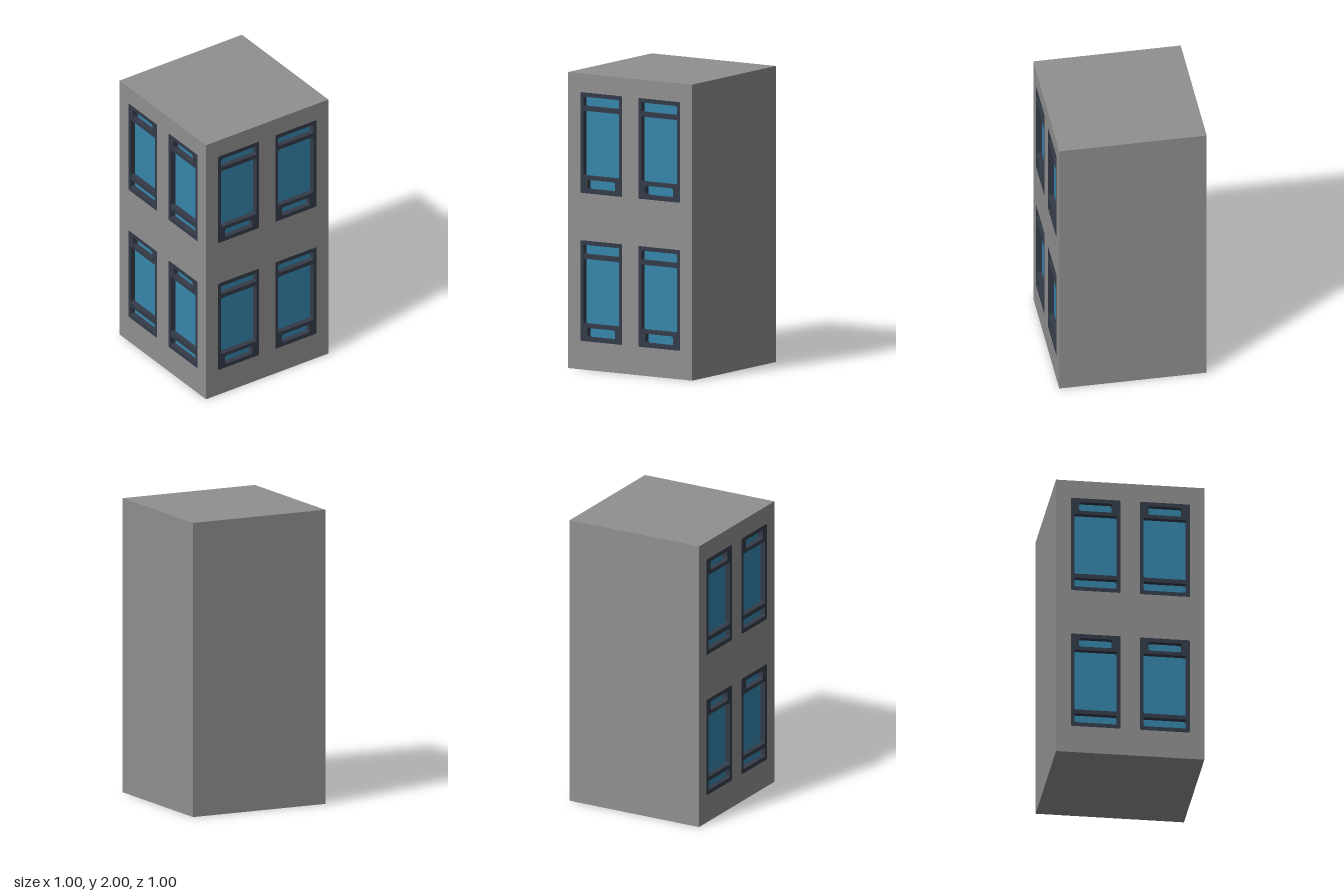
import * as THREE from 'three';
import { mergeGeometries } from 'three/addons/utils/BufferGeometryUtils.js';

const wallMat = new THREE.MeshStandardMaterial({ name: 'concrete grey', color: 0x909090 });
const frameMat = new THREE.MeshStandardMaterial({ name: 'dark slate', color: 0x343b48 });
const glassMat = new THREE.MeshStandardMaterial({ name: 'window blue', color: 0x3585ab });

const FRAME_W = 0.335, FRAME_H = 0.68, FRAME_D = 0.05, GLASS_RECESS = 0.038;
const WINDOW_X = [-0.2325, 0.2345];
const WINDOW_Y = [0.533, 1.533];

// panes relative to the window centre: [centre y, width, height, corner radius]
const PANES = [
  [0.279, 0.288, 0.065, 0.012],
  [-0.003, 0.288, 0.44, 0.012],
  [-0.28, 0.225, 0.064, 0.018],
];

// rounded rectangle traced into a Shape or Path
function roundedRect(target, cx, cy, w, h, r) {
  const x0 = cx - w / 2, x1 = cx + w / 2, y0 = cy - h / 2, y1 = cy + h / 2;
  target.moveTo(x0 + r, y0);
  target.lineTo(x1 - r, y0);
  target.quadraticCurveTo(x1, y0, x1, y0 + r);
  target.lineTo(x1, y1 - r);
  target.quadraticCurveTo(x1, y1, x1 - r, y1);
  target.lineTo(x0 + r, y1);
  target.quadraticCurveTo(x0, y1, x0, y1 - r);
  target.lineTo(x0, y0 + r);
  target.quadraticCurveTo(x0, y0, x0 + r, y0);
  return target;
}

// wall face with four window openings
function windowWall() {
  const shape = new THREE.Shape([
    new THREE.Vector2(-0.5, 0), new THREE.Vector2(0.5, 0),
    new THREE.Vector2(0.5, 2), new THREE.Vector2(-0.5, 2),
  ]);
  for (const x of WINDOW_X) for (const y of WINDOW_Y) {
    shape.holes.push(roundedRect(new THREE.Path(), x, y, FRAME_W, FRAME_H, 0.008));
  }
  return new THREE.ShapeGeometry(shape, 3).translate(0, 0, 0.5);
}

// one window: flush frame with three recessed panes
function makeWindow() {
  const g = new THREE.Group();
  g.name = 'window';
  const shape = roundedRect(new THREE.Shape(), 0, 0, FRAME_W, FRAME_H, 0.008);
  for (const [y, w, h, r] of PANES) {
    shape.holes.push(roundedRect(new THREE.Path(), 0, y, w, h, r));
  }
  const frame = new THREE.Mesh(
    new THREE.ExtrudeGeometry(shape, { depth: FRAME_D, bevelEnabled: false, curveSegments: 3 })
      .translate(0, 0, -FRAME_D), frameMat);
  frame.name = 'windowFrame';
  g.add(frame);
  for (const [y, w, h, r] of PANES) {
    const pane = new THREE.Mesh(
      new THREE.ShapeGeometry(roundedRect(new THREE.Shape(), 0, y, w, h, r), 3), glassMat);
    pane.position.z = -GLASS_RECESS;
    pane.name = 'windowPane';
    g.add(pane);
  }
  return g;
}

// four windows on a wall facing +z
function makeWindows(name, upsideDown) {
  const g = new THREE.Group();
  g.name = name;
  for (const x of WINDOW_X) for (const y of WINDOW_Y) {
    const win = makeWindow();
    win.position.set(x, y, 0.5);
    if (upsideDown) win.rotation.z = Math.PI;
    g.add(win);
  }
  return g;
}

export function createModel() {
  const model = new THREE.Group();
  model.name = 'buildingBlock';

  // shell: two pierced walls, two plain walls, roof and floor
  const plain = () => new THREE.PlaneGeometry(1, 2).translate(0, 1, 0.5);
  const walls = new THREE.Mesh(mergeGeometries([
    windowWall(),
    windowWall().rotateY(-Math.PI / 2),
    plain().rotateY(Math.PI / 2),
    plain().rotateY(Math.PI),
    new THREE.PlaneGeometry(1, 1).rotateX(-Math.PI / 2).translate(0, 2, 0),
    new THREE.PlaneGeometry(1, 1).rotateX(Math.PI / 2),
  ]), wallMat);
  walls.name = 'walls';
  model.add(walls);

  // windows on the front and on the -x side
  model.add(makeWindows('frontWindows', false));
  const side = makeWindows('sideWindows', true);
  side.rotation.y = -Math.PI / 2;
  model.add(side);

  return model;
}
